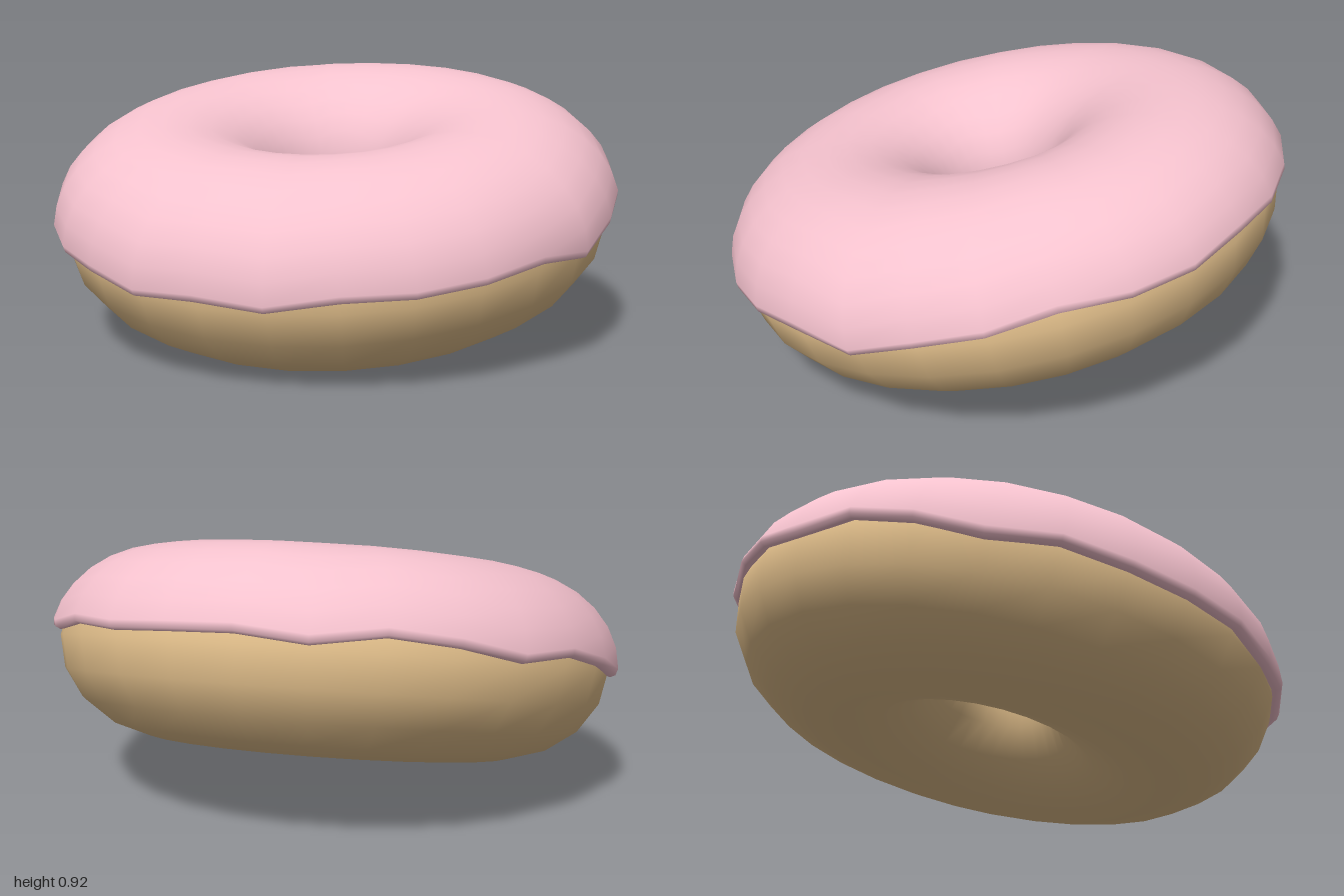
import * as THREE from 'three';

const SEGMENTS = 28; // steps around the ring

// Height of the icing's outer rim at each step, from the front towards +x
const RIM = [
  0.025, 0.01, 0.04, 0.03, 0.03, 0.035, -0.02, 0.015, 0.026, 0.055, 0.025, 0.015, 0.035, 0.02,
  0.025, 0.03, 0.01, 0.045, 0.03, 0.0, 0.03, 0.01, -0.02, 0.01, 0.005, 0.01, 0.02, 0.0,
];

// Sweeps a closed counter-clockwise [radius, height] section around the y axis
function ring(section, color, name) {
  const positions = [], index = [];
  let count = 0;
  for (let i = 0; i < SEGMENTS; i++) {
    const a = (i / SEGMENTS) * Math.PI * 2;
    const points = section(i);
    count = points.length;
    for (const [r, y] of points) positions.push(r * Math.sin(a), y, r * Math.cos(a));
  }
  for (let i = 0; i < SEGMENTS; i++) {
    const next = (i + 1) % SEGMENTS;
    for (let j = 0; j < count; j++) {
      const up = (j + 1) % count;
      const p = i * count + j, q = next * count + j;
      const pUp = i * count + up, qUp = next * count + up;
      index.push(p, q, qUp, p, qUp, pUp);
    }
  }
  const geometry = new THREE.BufferGeometry();
  geometry.setAttribute('position', new THREE.Float32BufferAttribute(positions, 3));
  geometry.setIndex(index);
  geometry.computeVertexNormals();
  const mesh = new THREE.Mesh(geometry, new THREE.MeshStandardMaterial({ color }));
  mesh.name = name;
  return mesh;
}

// Dough: oval tube, kept a little lower on top so it stays under the icing
function doughSection() {
  const points = [];
  for (let j = 0; j < 18; j++) {
    const t = (j / 18) * Math.PI * 2;
    const height = Math.sin(t) > 0 ? 0.29 : 0.33;
    points.push([0.58 + 0.387 * Math.cos(t), height * Math.sin(t)]);
  }
  return points;
}

// Icing: upper half of a wider oval with a rounded lip at both rims
function icingSection(i) {
  const R = 0.59, width = 0.41, height = 0.335;
  const outer = RIM[i];
  const inner = 0.01 + 0.012 * Math.sin(i * 1.35);
  const start = Math.asin((outer + 0.03) / height);
  const end = Math.PI - Math.asin((inner + 0.03) / height);
  const points = [[R + 0.35, outer + 0.01], [R + 0.385, outer], [R + 0.402, outer + 0.008]];
  for (let j = 0; j <= 14; j++) {
    const t = start + (end - start) * (j / 14);
    points.push([R + width * Math.cos(t), height * Math.sin(t)]);
  }
  points.push([R - 0.402, inner + 0.008], [R - 0.385, inner], [R - 0.35, inner + 0.01]);
  return points;
}

export function createModel() {
  const model = new THREE.Group();
  model.name = 'doughnut';

  // Whole ring leans forward and slightly to its left
  const body = new THREE.Group();
  body.name = 'tiltedRing';
  body.rotation.set(THREE.MathUtils.degToRad(12), 0, THREE.MathUtils.degToRad(-2.5));
  body.add(ring(doughSection, 0xe3c08c, 'dough'), ring(icingSection, 0xf5c2ce, 'icing'));
  model.add(body);

  // Stand on the ground, centred
  model.updateMatrixWorld(true);
  const box = new THREE.Box3().setFromObject(model, true);
  const centre = box.getCenter(new THREE.Vector3());
  body.position.set(-centre.x, -box.min.y, -centre.z);
  return model;
}
